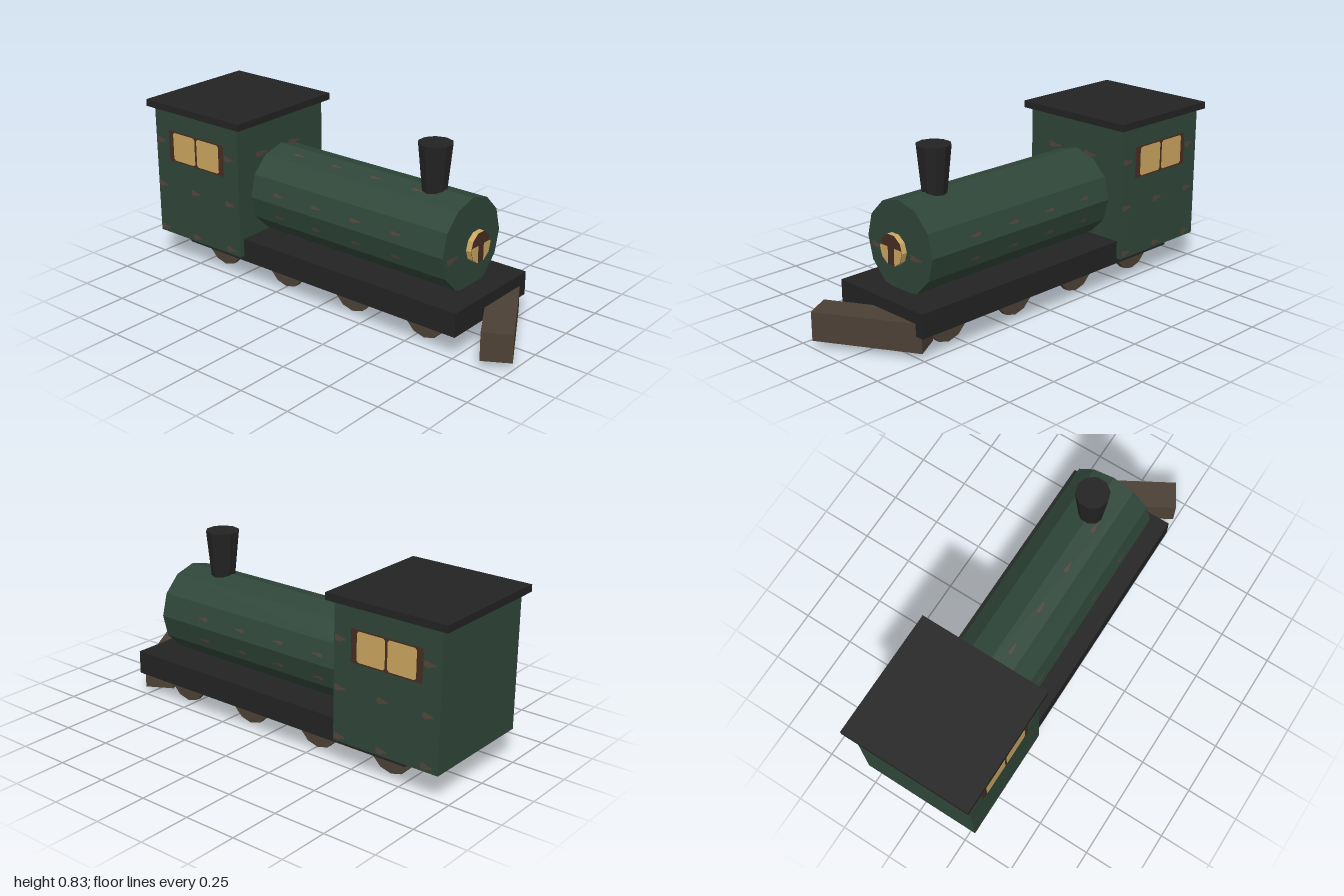
import * as THREE from 'three';

const mat = (name, color) => {
  const m = new THREE.MeshStandardMaterial({ color });
  m.name = name;
  return m;
};

export function createModel() {
  const green = mat('dark green paint', 0x2f4639);
  const black = mat('black iron', 0x232323);
  const brown = mat('worn brown metal', 0x4c4035);
  const rust = mat('rust', 0x54443a);
  const frame = mat('brown frame', 0x472d22);
  const glow = mat('yellow glass', 0xcaa55f);

  const model = new THREE.Group();
  model.name = 'locomotive';

  const add = (name, geometry, material, x, y, z, parent = model) => {
    // Faceted normals for every part
    const g = geometry.index ? geometry.toNonIndexed() : geometry;
    g.computeVertexNormals();
    const mesh = new THREE.Mesh(g, material);
    mesh.name = name;
    mesh.position.set(x, y, z);
    parent.add(mesh);
    return mesh;
  };
  const box = (name, material, [x0, x1], [y0, y1], [z0, z1], parent) =>
    add(name, new THREE.BoxGeometry(x1 - x0, y1 - y0, z1 - z0), material,
      (x0 + x1) / 2, (y0 + y1) / 2, (z0 + z1) / 2, parent);
  const polygon = (points) =>
    new THREE.ShapeGeometry(new THREE.Shape(points.map(([x, y]) => new THREE.Vector2(x, y))));

  // Ragged rust mark facing +z
  const rustMark = (w, h) => polygon([
    [-0.5, 0.4], [-0.5, -0.35], [-0.1, -0.5], [0.15, -0.2], [0.5, -0.15], [0.5, 0.2], [0.1, 0.25], [-0.2, 0.5],
  ].map(([x, y]) => [x * w, y * h]).reverse());

  // Chassis, cab and roof
  box('chassis', black, [-0.79, 0.77], [0.112, 0.223], [-0.267, 0.267]);
  box('cab', green, [-0.967, -0.432], [0.136, 0.76], [-0.29, 0.29]);
  box('roof', black, [-1, -0.4], [0.767, 0.8], [-0.313, 0.313]);

  // Cab sides: framed windows and rust marks
  for (const side of [1, -1]) {
    const wall = new THREE.Group();
    wall.name = side > 0 ? 'leftCabSide' : 'rightCabSide';
    wall.position.set(-0.7, 0, side * 0.29);
    wall.rotation.y = side > 0 ? 0 : Math.PI;
    model.add(wall);
    box('windowFrame', frame, [-0.179, 0.176], [0.516, 0.668], [-0.002, 0.002], wall);
    for (const s of [-1, 1]) {
      const pane = polygon([
        [-0.071, -0.06], [-0.062, -0.069], [0.062, -0.069], [0.071, -0.06],
        [0.071, 0.06], [0.062, 0.069], [-0.062, 0.069], [-0.071, 0.06],
      ]);
      add('windowPane', pane, glow, s * 0.077, 0.593, 0.004, wall);
    }
    for (const y of [0.16, 0.385, 0.607]) {
      for (const x of [-0.235, -0.015, 0.21]) {
        if (y > 0.6 && x > -0.1 && x < 0.1) continue;
        add('cabRust', rustMark(0.055, 0.03), rust, x, y, 0.002, wall);
      }
    }
  }

  // Boiler
  const boiler = new THREE.CylinderGeometry(0.21, 0.21, 1.09, 12).rotateZ(-Math.PI / 2);
  add('boiler', boiler, green, 0.113, 0.415, 0);
  for (const [deg, offset] of [[15, 0], [75, -0.012], [105, -0.015], [-75, 0.012], [-105, 0.015]]) {
    const facet = new THREE.Group();
    facet.name = 'boilerRust';
    facet.position.y = 0.415;
    facet.rotation.x = THREE.MathUtils.degToRad(deg - 90);
    model.add(facet);
    for (let i = 0; i < 4; i++) {
      add('rustMark', rustMark(0.055, 0.018), rust, -0.27 + i * 0.225, offset, 0.2045, facet);
    }
  }

  // Rust marks on the front faces of the cab and boiler
  for (const [x, y, z] of [[-0.43, 0.611, 0.135], [-0.43, 0.611, -0.088],
    [0.66, 0.387, 0.142], [0.66, 0.387, -0.105]]) {
    add('frontRust', rustMark(0.075, 0.028), rust, x, y, z).rotation.y = Math.PI / 2;
  }

  // Chimney, wider at the top
  add('chimney', new THREE.CylinderGeometry(0.078, 0.054, 0.24, 10), black, 0.458, 0.707, 0);

  // Headlamp: brown disc with a yellow rim and two yellow panes on each face
  const lamp = new THREE.Group();
  lamp.name = 'headlamp';
  lamp.position.set(0.692, 0.414, 0);
  model.add(lamp);
  const disc = new THREE.CylinderGeometry(0.0715, 0.0715, 0.026, 10).rotateZ(-Math.PI / 2);
  add('lampDisc', disc, [glow, frame, frame], 0, 0, 0, lamp);
  const half = [[0.02, 0.012], [0.0675, 0.012], [0.0715, 0], [0.0578, -0.042], [0.0221, -0.068], [0.02, -0.068]];
  for (const dir of [1, -1]) {
    for (const s of [1, -1]) {
      const pane = polygon(half.map(([x, y]) => [x * s, y]));
      add('lampPane', pane, glow, dir * 0.0145, 0, 0, lamp).rotation.y = dir * Math.PI / 2;
    }
  }

  // Four pairs of wheels, half hidden by the chassis
  for (const x of [-0.655, -0.255, 0.145, 0.545]) {
    for (const z of [-0.16, 0.16]) {
      add('wheel', new THREE.CylinderGeometry(0.11, 0.11, 0.027, 12).rotateX(Math.PI / 2), brown, x, 0.11, z);
    }
  }

  // Slanted plough beam at the front
  add('plough', new THREE.BoxGeometry(0.137, 0.133, 0.49), brown, 0.82, 0.102, 0).rotation.y = Math.PI / 6;

  return model;
}
